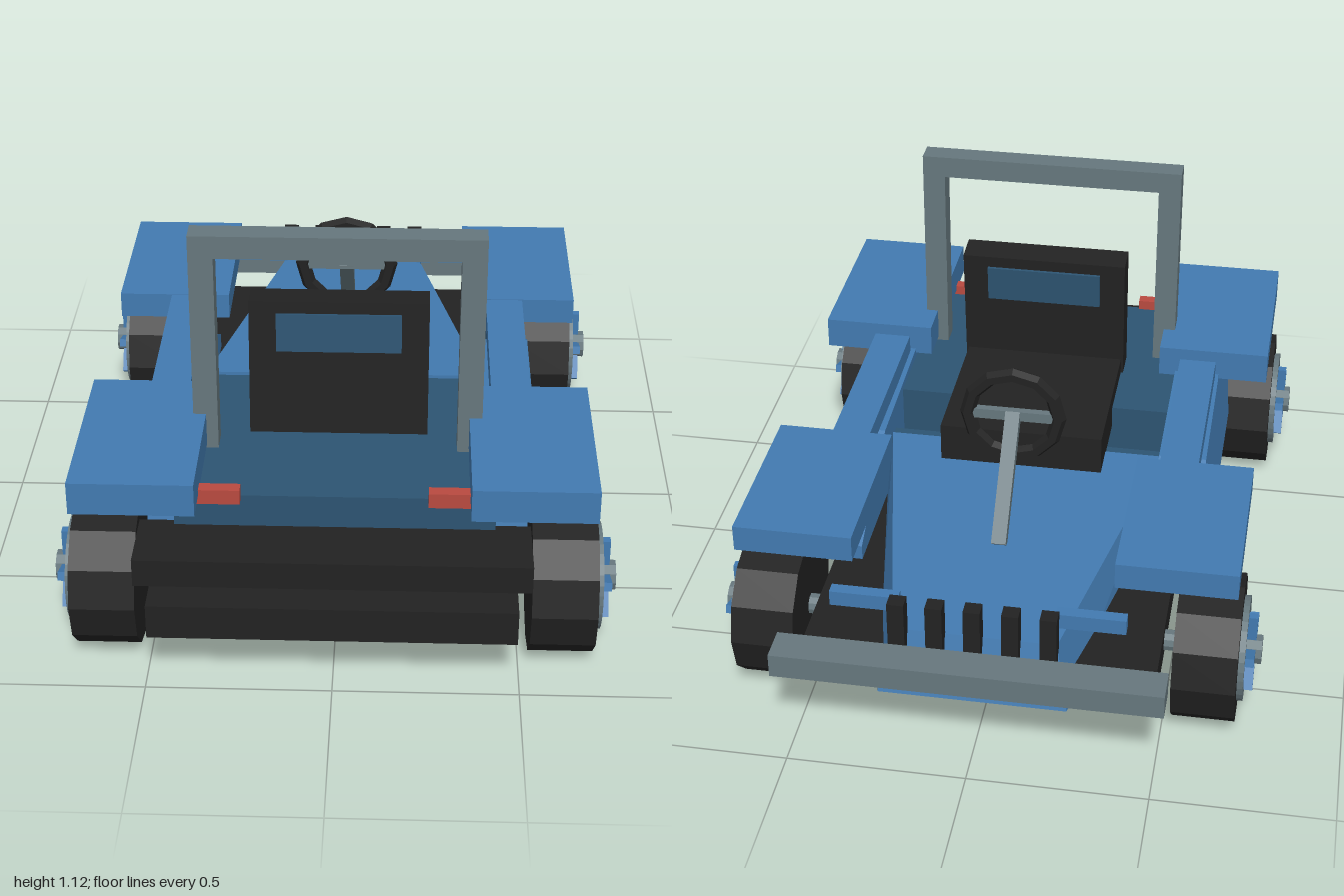
import * as THREE from 'three';
import { ConvexGeometry } from 'three/addons/geometries/ConvexGeometry.js';

function material(name, color) {
  const m = new THREE.MeshStandardMaterial({ color, flatShading: true });
  m.name = name;
  return m;
}

export function createModel() {
  const blue = material('body blue', 0x427ab0);
  const darkBlue = material('dark blue', 0x2d5472);
  const black = material('black', 0x222222);
  const grey = material('metal grey', 0x66777d);
  const red = material('lamp red', 0xb94a40);

  const car = new THREE.Group();
  car.name = 'buggy';

  function add(name, geometry, mat, parent = car) {
    const mesh = new THREE.Mesh(geometry, mat);
    mesh.name = name;
    parent.add(mesh);
    return mesh;
  }
  // Box given by its limits on each axis
  function box(name, mat, [x0, x1], [y0, y1], [z0, z1], parent = car) {
    const mesh = add(name, new THREE.BoxGeometry(x1 - x0, y1 - y0, z1 - z0), mat, parent);
    mesh.position.set((x0 + x1) / 2, (y0 + y1) / 2, (z0 + z1) / 2);
    return mesh;
  }
  // Box on both sides of the car
  function pair(name, mat, [x0, x1], y, z) {
    box(name + 'Left', mat, [x0, x1], y, z);
    box(name + 'Right', mat, [-x1, -x0], y, z);
  }
  const solid = (name, mat, points) =>
    add(name, new ConvexGeometry(points.map(p => new THREE.Vector3(...p))), mat);

  // Chassis and bumpers
  box('chassis', black, [-0.49, 0.49], [0.165, 0.265], [-0.845, 1]);
  box('rearBumper', black, [-0.525, 0.525], [0.305, 0.385], [0.77, 0.965]);
  box('frontBumper', grey, [-0.53, 0.53], [0.29, 0.36], [-1, -0.9]);

  // Rear deck and cowl
  box('rearDeck', darkBlue, [-0.43, 0.43], [0.265, 0.48], [0.17, 0.79]);
  box('cowl', darkBlue, [-0.41, 0.41], [0.265, 0.41], [0.0, 0.06]);

  // Tapered hood
  const hoodPoints = [];
  for (const s of [-1, 1]) {
    hoodPoints.push([s * 0.41, 0.42, 0.02], [s * 0.41, 0.265, 0.02],
      [s * 0.225, 0.37, -0.845], [s * 0.26, 0.19, -0.9], [s * 0.41, 0.24, -0.1]);
  }
  solid('hood', blue, hoodPoints);

  // Side pods, leaning outwards at the bottom
  const podProfile = [[0.615, 0.265], [0.56, 0.515], [-0.08, 0.49], [-0.42, 0.31], [-0.42, 0.265]];
  for (const s of [-1, 1]) {
    const points = [];
    for (const [z, y] of podProfile) {
      points.push([s * 0.41, y, z], [s * (0.575 - (y - 0.265) * 0.12), y, z]);
    }
    solid(s > 0 ? 'sidePodLeft' : 'sidePodRight', blue, points);
  }
  pair('sill', blue, [0.425, 0.535], [0.5, 0.56], [-0.21, 0.355]);

  // Fenders and their inner supports
  pair('rearFender', blue, [0.36, 0.692], [0.493, 0.587], [0.37, 0.915]);
  pair('frontFender', blue, [0.36, 0.692], [0.485, 0.562], [-0.72, -0.205]);
  pair('frontFenderSupport', darkBlue, [0.43, 0.54], [0.3, 0.49], [-0.45, -0.1]);
  pair('rearFenderSupport', darkBlue, [0.475, 0.545], [0.38, 0.5], [0.5, 0.6]);

  // Lamps and grille
  pair('tailLamp', red, [0.25, 0.4], [0.467, 0.51], [0.78, 0.815]);
  pair('headLamp', blue, [0.215, 0.405], [0.4, 0.445], [-0.81, -0.775]);
  for (let i = 0; i < 5; i++) {
    const x = (i - 2) * 0.103;
    box('grilleBar', black, [x - 0.023, x + 0.023], [0.31, 0.48], [-0.885, -0.84]);
  }

  // Roll bar
  pair('rollBarPost', grey, [0.328, 0.395], [0.475, 1.06], [0.482, 0.55]);
  box('rollBarTop', grey, [-0.395, 0.395], [1.06, 1.125], [0.482, 0.55]);

  // Seat with reclined back and inset panel
  box('seatCushion', black, [-0.24, 0.24], [0.41, 0.53], [-0.085, 0.42]);
  const back = new THREE.Group();
  back.name = 'seatBack';
  back.position.set(0, 0.48, 0.422);
  back.rotation.x = -0.08;
  car.add(back);
  box('seatBackPad', black, [-0.247, 0.247], [0, 0.395], [-0.045, 0.045], back);
  box('seatBackPanel', darkBlue, [-0.172, 0.172], [0.25, 0.36], [-0.054, 0.054], back);

  // Steering wheel, crossbar and column
  const rim = add('steeringWheel', new THREE.TorusGeometry(0.132, 0.022, 6, 12), black);
  rim.position.set(0, 0.675, -0.212);
  box('steeringCrossbar', grey, [-0.12, 0.12], [0.66, 0.69], [-0.222, -0.2]);
  const top = new THREE.Vector3(0, 0.68, -0.21);
  const foot = new THREE.Vector3(0, 0.395, -0.46);
  const column = add('steeringColumn', new THREE.BoxGeometry(0.042, 0.032, top.distanceTo(foot)), grey);
  column.position.copy(top).lerp(foot, 0.5);
  column.lookAt(foot);

  // Wheels: built along +x, turned round for the other side
  function wheel(name, side, z) {
    const g = new THREE.Group();
    g.name = name;
    g.position.set(0, 0.21, z);
    g.rotation.y = side > 0 ? 0 : Math.PI;
    car.add(g);
    const disc = (part, mat, r, x0, x1, n) => {
      const geometry = new THREE.CylinderGeometry(r, r, x1 - x0, n);
      geometry.rotateZ(Math.PI / 2);
      add(part, geometry, mat, g).position.x = (x0 + x1) / 2;
    };
    disc('tyre', black, 0.209, 0.527, 0.703, 12);
    disc('axle', grey, 0.03, 0.4, 0.53, 10);
    const ring = new THREE.Shape().absarc(0, 0, 0.147, 0, Math.PI * 2);
    ring.holes.push(new THREE.Path().absarc(0, 0, 0.113, 0, Math.PI * 2, true));
    const ringGeometry = new THREE.ExtrudeGeometry(ring, { depth: 0.02, bevelEnabled: false, curveSegments: 16 });
    ringGeometry.rotateY(Math.PI / 2);
    add('wheelRim', ringGeometry, grey, g).position.x = 0.7;
    for (let i = 0; i < 5; i++) {
      const spoke = new THREE.BoxGeometry(0.035, 0.09, 0.024);
      spoke.translate(0.727, 0.07, 0);
      spoke.rotateX(i * Math.PI * 2 / 5);
      add('spoke', spoke, blue, g);
    }
    disc('hub', grey, 0.042, 0.7, 0.762, 10);
  }
  for (const side of [1, -1]) {
    const label = side > 0 ? 'Left' : 'Right';
    wheel('rearWheel' + label, side, 0.735);
    wheel('frontWheel' + label, side, -0.577);
  }
  return car;
}
